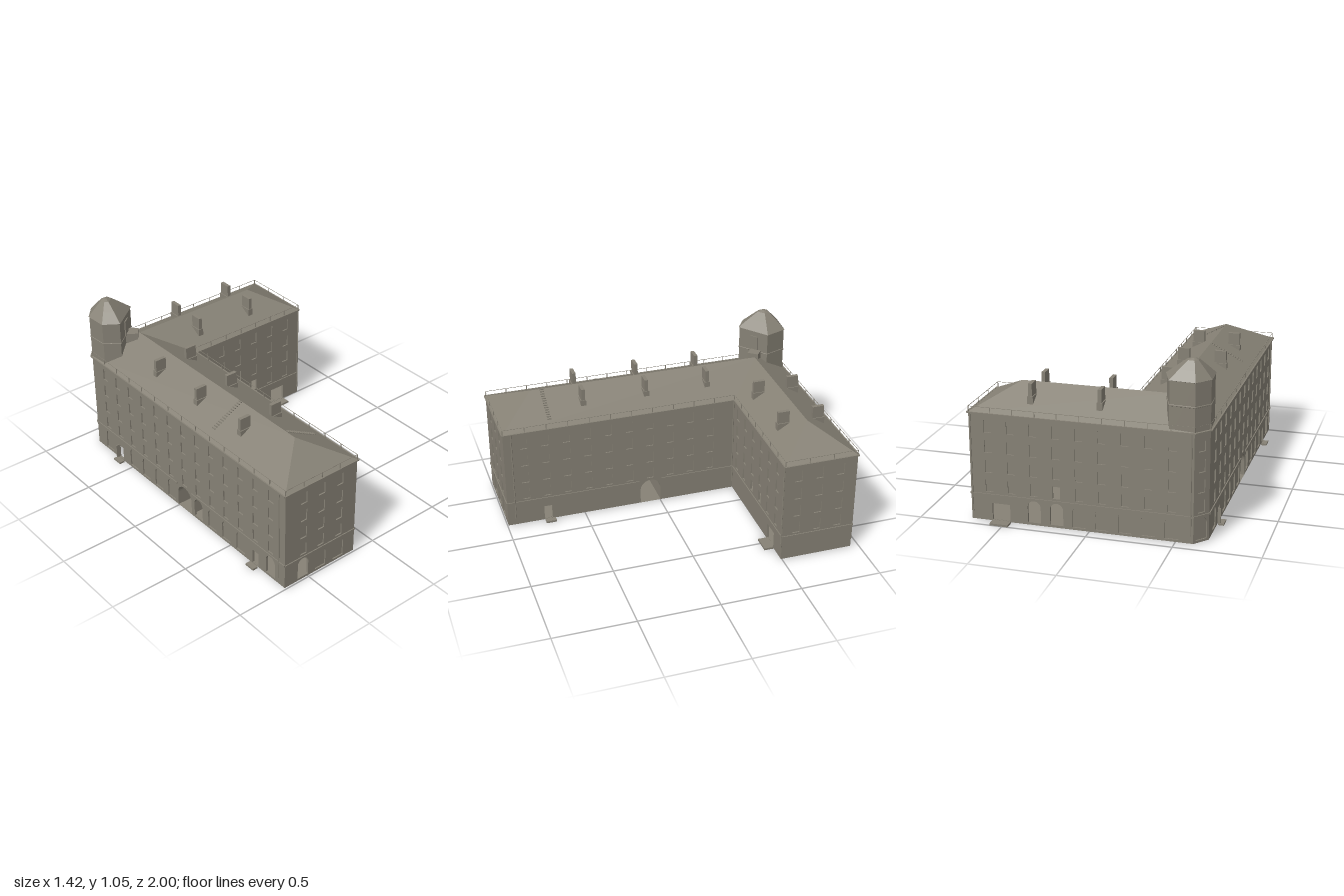
import * as THREE from 'three';
import { mergeGeometries } from 'three/addons/utils/BufferGeometryUtils.js';

const stone = new THREE.MeshStandardMaterial({ color: 0x868175, side: THREE.DoubleSide });
stone.name = 'grey stone';

const BASE = 0.008, EAVE = 0.655, THICK = 0.014;
const ROWS = [0.22, 0.337, 0.457, 0.578];

export function createModel() {
  const model = new THREE.Group();

  const add = (name, geo, parent = model) => {
    const m = new THREE.Mesh(geo.index ? geo.toNonIndexed() : geo, stone);
    m.geometry.computeVertexNormals();
    m.name = name;
    parent.add(m);
    return m;
  };
  const box = (w, h, d, x, y, z) => new THREE.BoxGeometry(w, h, d).translate(x, y, z);
  // box between two plan points, centred at height y
  const beam = (a, b, y, h, d) => {
    const dx = b[0] - a[0], dz = b[1] - a[1];
    return new THREE.BoxGeometry(Math.hypot(dx, dz), h, d)
      .rotateY(Math.atan2(-dz, dx))
      .translate((a[0] + b[0]) / 2, y, (a[1] + b[1]) / 2);
  };
  const outline = (Kind, o) => {
    const s = new Kind(), l = o.u - o.w / 2, r = o.u + o.w / 2;
    s.moveTo(l, o.y0);
    s.lineTo(r, o.y0);
    if (o.arch) {
      s.lineTo(r, o.y1 - o.w / 2);
      s.absarc(o.u, o.y1 - o.w / 2, o.w / 2, 0, Math.PI, false);
    } else {
      s.lineTo(r, o.y1);
      s.lineTo(l, o.y1);
    }
    s.lineTo(l, o.y0);
    return s;
  };

  // wall with window, arch and door openings; closed ones get a recessed pane
  const wall = (name, a, b, openings) => {
    const dx = b[0] - a[0], dz = b[1] - a[1], len = Math.hypot(dx, dz);
    const g = new THREE.Group();
    g.name = name;
    g.position.set(a[0], 0, a[1]);
    g.rotation.y = Math.atan2(-dz, dx);
    const s = new THREE.Shape();
    s.moveTo(0, BASE);
    s.lineTo(len, BASE);
    s.lineTo(len, EAVE);
    s.lineTo(0, EAVE);
    s.closePath();
    openings.forEach(o => s.holes.push(outline(THREE.Path, o)));
    add(name + 'Masonry', new THREE.ExtrudeGeometry(s, { depth: THICK, bevelEnabled: false, curveSegments: 8 })
      .translate(0, 0, -THICK), g);
    const panes = openings.filter(o => !o.open)
      .map(o => new THREE.ShapeGeometry(outline(THREE.Shape, o), 8).translate(0, 0, -0.008));
    if (panes.length) add(name + 'Panes', mergeGeometries(panes), g);
    model.add(g);
  };
  const windows = (us, open = []) => us.flatMap((u, i) => ROWS.map((y, r) => (
    { u, w: 0.045, y0: y - 0.037, y1: y + 0.037, open: r === 0 && open.includes(i) })));
  const arches = (us, open = []) => us.map((u, i) => (
    { u, w: 0.078, y0: 0.022, y1: 0.155, arch: true, open: open.includes(i) }));
  const door = (u, w, y1) => ({ u, w, y0: 0.013, y1, open: true });
  const gate = u => ({ u, w: 0.133, y0: 0.0082, y1: 0.168, arch: true, open: true });

  // outer plan of the L-shaped building
  const P = [[-0.675, 0.995], [-0.152, 0.995], [-0.152, -0.49], [0.7, -0.49],
    [0.7, -0.945], [-0.605, -0.945], [-0.675, -0.865]];
  const longCols = Array.from({ length: 10 }, (_, i) => 0.87 - i * 0.1335);
  const shortCols = Array.from({ length: 6 }, (_, i) => 0.588 - i * 0.1337);
  const backCols = Array.from({ length: 9 }, (_, i) => 0.588 - i * 0.1337);
  const westCols = [...longCols, -0.464, -0.598, -0.731];

  const frontU = [-0.54, -0.41, -0.275].map(x => x + 0.675);
  wall('frontWall', P[0], P[1], [...windows(frontU), ...arches(frontU, [0])]);
  wall('courtWallLong', P[1], P[2], [...windows(longCols.map(z => 0.995 - z)),
    gate(0.995 - 0.067), door(0.995 - 0.737, 0.052, 0.105)]);
  wall('courtWallShort', P[2], P[3], [...windows(shortCols.map(x => x + 0.152), [2, 3]),
    door(0.52 + 0.152, 0.108, 0.115)]);
  wall('endWall', P[3], P[4], windows([-0.578, -0.711, -0.845].map(z => -0.49 - z)));
  const backU = backCols.map(x => 0.7 - x);
  wall('backWall', P[4], P[5], [...windows(backU, [3]), ...arches(backU.slice(2), [0, 1]),
    door(0.18, 0.108, 0.115)]);
  const cut = Math.hypot(0.07, 0.08) / 2;
  wall('cornerWall', P[5], P[6], [...windows([cut]), ...arches([cut])]);
  const westArch = westCols.filter((_, i) => ![1, 6, 11].includes(i));
  wall('outerWall', P[6], P[0], [...windows(westCols.map(z => z + 0.865)),
    ...arches(westArch.map(z => z + 0.865), [0, 4]), gate(0.067 + 0.865),
    door(0.737 + 0.865, 0.052, 0.105), door(-0.61 + 0.865, 0.052, 0.105)]);

  // vaulted passage through the long wing
  const vault = outline(THREE.Shape, { u: 0, w: 0.141, y0: BASE, y1: 0.172, arch: true });
  vault.holes.push(outline(THREE.Path, { u: 0, w: 0.133, y0: BASE + 0.0002, y1: 0.168, arch: true }));
  add('passageVault', new THREE.ExtrudeGeometry(vault, { depth: 0.51, bevelEnabled: false, curveSegments: 10 })
    .rotateY(Math.PI / 2).translate(-0.67, 0, 0.067));

  // ground floors and the floor above them
  add('floorLongWing', box(0.51, 0.006, 0.85, -0.413, 0.011, 0.563));
  add('floorShortWing', box(0.69, 0.006, 0.44, 0.348, 0.011, -0.717));
  add('upperFloorLongWing', box(0.51, 0.004, 1.84, -0.413, 0.174, 0.065));
  add('upperFloorShortWing', box(1.28, 0.004, 0.43, 0.05, 0.174, -0.717));

  // string course, gutter and snow rail around the plan
  const gapped = [];
  const rails = [];
  P.forEach((a, i) => {
    const b = P[(i + 1) % P.length];
    const gate = (i === 1 || i === 6);
    const pieces = gate ? (i === 1 ? [[a, [a[0], 0.14]], [[a[0], -0.006], b]]
      : [[a, [a[0], -0.006]], [[a[0], 0.14], b]]) : [[a, b]];
    pieces.forEach(([p, q]) => gapped.push(beam(p, q, 0.166, 0.01, 0.012)));
    rails.push(beam(a, b, 0.69, 0.002, 0.002));
    const n = Math.max(1, Math.round(Math.hypot(b[0] - a[0], b[1] - a[1]) / 0.13));
    for (let k = 0; k < n; k++) {
      const t = k / n;
      rails.push(box(0.004, 0.034, 0.004, a[0] + (b[0] - a[0]) * t, 0.673, a[1] + (b[1] - a[1]) * t));
    }
  });
  add('stringCourse', mergeGeometries(gapped));
  add('snowRail', mergeGeometries(rails));

  // hipped roof
  const Y = 0.795;
  const E = [[-0.683, 1], [-0.145, 1], [-0.145, -0.485], [0.706, -0.485], [0.706, -0.952], [-0.61, -0.952], [-0.683, -0.87]]
    .map(([x, z]) => [x, EAVE, z]);
  const R = [[-0.41, Y, 0.76], [-0.41, Y, -0.72], [0.455, Y, -0.72]];
  const faces = [[E[0], E[1], R[0]], [E[1], E[2], R[1], R[0]], [E[2], E[3], R[2], R[1]], [E[3], E[4], R[2]],
    [E[4], E[5], R[1], R[2]], [E[5], E[6], R[1]], [E[6], E[0], R[0], R[1]]];
  const fan = polys => {
    const pos = [];
    polys.forEach(f => { for (let i = 1; i < f.length - 1; i++) pos.push(...f[0], ...f[i], ...f[i + 1]); });
    return new THREE.BufferGeometry().setAttribute('position', new THREE.Float32BufferAttribute(pos, 3));
  };
  add('roof', fan(faces));
  add('gutter', mergeGeometries(E.map((p, i) => {
    const q = E[(i + 1) % E.length];
    return beam([p[0], p[2]], [q[0], q[2]], 0.655, 0.007, 0.008);
  })));

  // chimneys, slim shaft on a wider foot
  const chimney = (x, z, alongX) => {
    const part = (l, w, h, y) => alongX ? box(l, h, w, x, y, z) : box(w, h, l, x, y, z);
    add('chimney', mergeGeometries([part(0.072, 0.022, 0.125, 0.7625), part(0.08, 0.034, 0.045, 0.7275)]));
  };
  for (const x of [-0.525, -0.3]) for (const z of [-0.345, 0.055, 0.46]) chimney(x, z, true);
  for (const x of [-0.047, 0.358]) for (const z of [-0.828, -0.607]) chimney(x, z, false);

  // roof ladders
  const ladder = (x0, x1, y0, y1, z) => {
    const steps = [];
    for (let i = 0; i < 14; i++) {
      const t = (i + 0.5) / 14;
      steps.push(box(0.006, 0.006, 0.024, x0 + (x1 - x0) * t, y0 + (y1 - y0) * t + 0.004, z));
    }
    add('roofLadder', mergeGeometries(steps));
  };
  ladder(-0.62, -0.41, 0.688, Y, 0.29);
  ladder(-0.2, -0.41, 0.683, Y, 0.69);

  // corner stair tower
  const C = [-0.57, -0.835];
  const T = [[-0.413, -0.805], [-0.58, -0.675], [-0.668, -0.735], [-0.675, -0.865], [-0.605, -0.945], [-0.46, -0.935]];
  const ring = (s, y) => T.map(([x, z]) => [C[0] + (x - C[0]) * s, y, C[1] + (z - C[1]) * s]);
  const loft = rings => {
    const polys = [];
    for (let k = 0; k < rings.length - 1; k++) T.forEach((_, i) => {
      const j = (i + 1) % T.length;
      polys.push([rings[k][j], rings[k][i], rings[k + 1][i], rings[k + 1][j]]);
    });
    return fan(polys);
  };
  add('towerBody', loft([ring(1, 0.6), ring(1, 0.94)]));
  add('towerBand', loft([ring(1, 0.795), ring(1.025, 0.797), ring(1.025, 0.803), ring(1, 0.805)]));
  add('towerRoof', loft([ring(1, 0.938), ring(1.04, 0.94), ring(0.62, 0.992), ring(0.25, 1.036), ring(0.1, 1.045), ring(0, 1.047)]));

  // tower door and roof hatch on the courtyard side
  const turn = Math.atan2(0.167, 0.13);
  add('towerDoor', new THREE.BoxGeometry(0.055, 0.1, 0.008).rotateY(0.66).translate(-0.49, 0.855, -0.742));
  add('roofHatch', new THREE.BoxGeometry(0.07, 0.07, 0.075).rotateY(turn).translate(-0.455, 0.78, -0.735));

  // entrance slabs
  [[0.52, -0.97, 0.11, 0.06], [0.52, -0.464, 0.11, 0.06], [-0.695, 0.727, 0.035, 0.066],
    [-0.135, 0.727, 0.04, 0.066], [-0.695, -0.61, 0.035, 0.066]]
    .forEach(([x, z, w, d]) => add('entranceSlab', box(w, 0.012, d, x, 0.006, z)));
  add('sideDoorLeaf', box(0.02, 0.09, 0.006, -0.683, 0.058, -0.637));

  // rain pipes
  [[-0.148, -0.484], [-0.148, 0.945], [0.696, -0.486], [-0.679, 0.945], [0.69, -0.949], [-0.59, -0.949]]
    .forEach(([x, z]) => add('rainPipe', new THREE.CylinderGeometry(0.004, 0.004, 0.6, 6).translate(x, 0.355, z)));

  return model;
}
